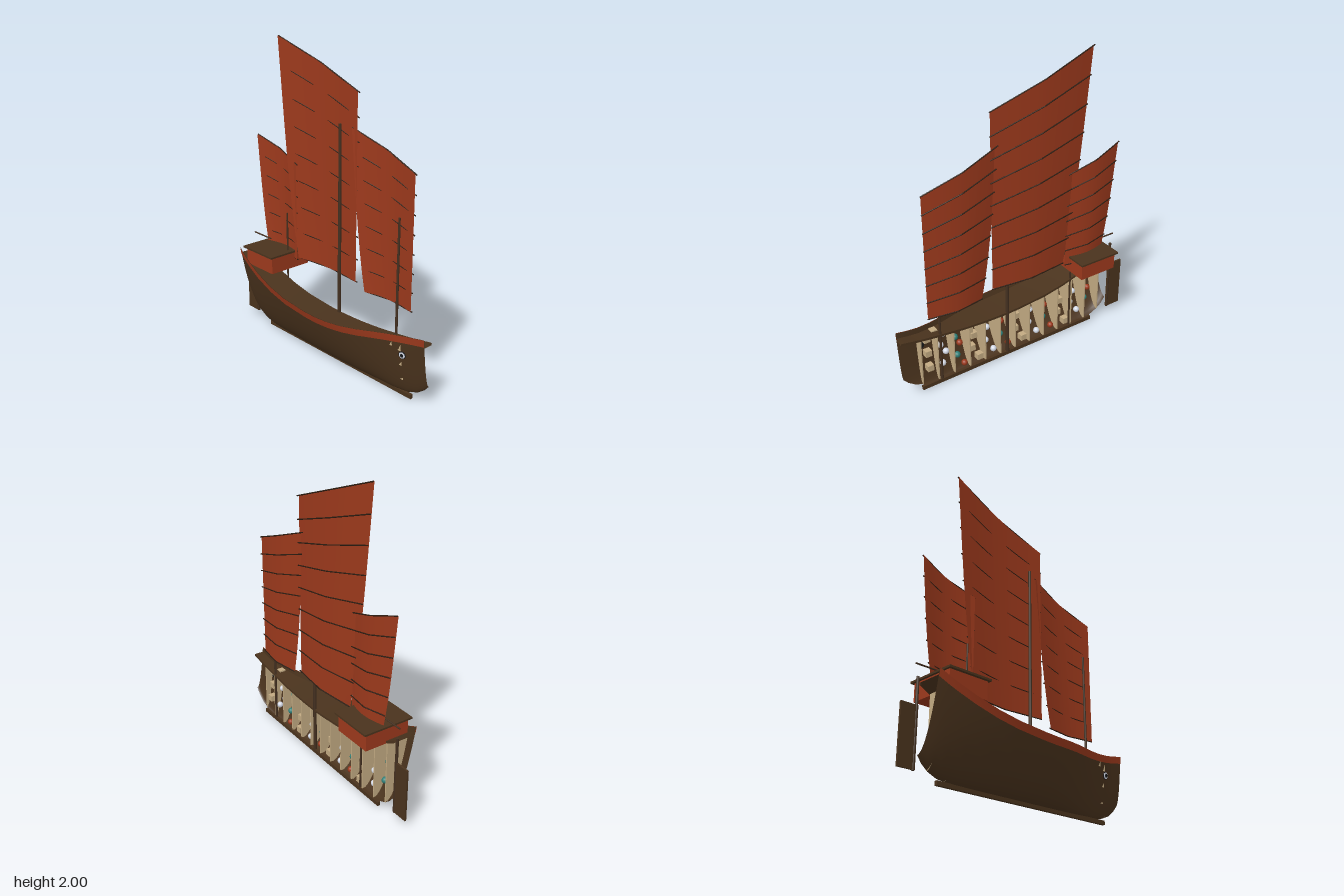
import * as THREE from 'three';
import { toCreasedNormals } from 'three/addons/utils/BufferGeometryUtils.js';

const mat = (name, color, side = THREE.FrontSide) =>
  Object.assign(new THREE.MeshStandardMaterial({ color, side }), { name });
const M = {
  wood: mat('hull brown', 0x4a331d, THREE.DoubleSide),
  dark: mat('dark spar brown', 0x2b1c11),
  mast: mat('mast brown', 0x443020),
  red: mat('tanbark red', 0x9c391c, THREE.DoubleSide),
  tan: mat('pale timber', 0xc2aa82),
  white: mat('porcelain white', 0xd5dae6),
  teal: mat('celadon teal', 0x2f7f78),
  black: mat('pupil black', 0x15171a),
};

const C = -0.026; // centre plane, where the hull is cut open

// Hull stations: x, sheer height, bottom height, half width
const STATIONS = [
  [-0.73, 0.575, 0.135, 0.157], [-0.70, 0.558, 0.095, 0.163], [-0.66, 0.537, 0.062, 0.169],
  [-0.60, 0.510, 0.036, 0.178], [-0.50, 0.470, 0.022, 0.191], [-0.35, 0.425, 0.02, 0.205],
  [-0.20, 0.396, 0.02, 0.214], [0, 0.378, 0.02, 0.217], [0.10, 0.374, 0.02, 0.215],
  [0.20, 0.375, 0.02, 0.207], [0.30, 0.379, 0.02, 0.189], [0.40, 0.386, 0.02, 0.158],
  [0.50, 0.397, 0.02, 0.121], [0.60, 0.409, 0.021, 0.090], [0.70, 0.423, 0.035, 0.068],
  [0.77, 0.435, 0.062, 0.061], [0.82, 0.445, 0.10, 0.059], [0.85, 0.45, 0.135, 0.058],
];

function station(x) {
  let i = 0;
  while (i < STATIONS.length - 2 && x > STATIONS[i + 1][0]) i++;
  const a = STATIONS[i], b = STATIONS[i + 1];
  const [top, bottom, w] = [1, 2, 3].map((k) => THREE.MathUtils.mapLinear(x, a[0], b[0], a[k], b[k]));
  const half = (y) => w * Math.sqrt(THREE.MathUtils.clamp((y - bottom) / (top - bottom), 0, 1));
  return { top, bottom, w, deck: top - 0.037, half };
}

// Skin a grid of points given by point(i, j)
function loft(nu, nv, point) {
  const pos = [], idx = [];
  for (let i = 0; i <= nu; i++) for (let j = 0; j <= nv; j++) pos.push(...point(i, j));
  for (let i = 0; i < nu; i++) for (let j = 0; j < nv; j++) {
    const a = i * (nv + 1) + j, b = a + nv + 1;
    idx.push(a, b, a + 1, b, b + 1, a + 1);
  }
  const g = new THREE.BufferGeometry();
  g.setAttribute('position', new THREE.Float32BufferAttribute(pos, 3));
  g.setIndex(idx);
  g.computeVertexNormals();
  return g;
}

function add(parent, name, geo, material, x = 0, y = 0, z = 0) {
  const m = new THREE.Mesh(geo, material);
  m.name = name;
  m.position.set(x, y, z);
  parent.add(m);
  return m;
}

// Round bar between two points
function bar(parent, name, a, b, r0, r1, material) {
  const p = new THREE.Vector3(...a), q = new THREE.Vector3(...b), d = q.clone().sub(p);
  const m = add(parent, name, new THREE.CylinderGeometry(r1, r0, d.length(), 8), material);
  m.position.copy(p).add(q).multiplyScalar(0.5);
  m.quaternion.setFromUnitVectors(new THREE.Vector3(0, 1, 0), d.normalize());
}

function buildHull(root) {
  const hull = new THREE.Group();
  hull.name = 'hull';
  root.add(hull);
  const n = STATIONS.length - 1;
  add(hull, 'planking', loft(n, 14, (i, j) => {
    const [x, top, bottom, w] = STATIONS[i], s = j / 14;
    return [x, bottom + (top - bottom) * s * s, C + w * s];
  }), M.wood);
  // Painted band below the sheer
  add(hull, 'gunwaleBand', loft(n, 1, (i, j) => {
    const x = STATIONS[i][0], s = station(x), y = j ? s.top : s.top - 0.045;
    return [x, y, C + s.half(y) + 0.003];
  }), M.red);
  // Deck with a thin edge on the cut side
  add(hull, 'deck', toCreasedNormals(loft(n, 3, (i, j) => {
    const x = STATIONS[i][0], s = station(x), y = s.deck - (j > 1 ? 0.015 : 0);
    return [x, y, j % 3 ? C - 0.008 : C + s.half(y)];
  }), 0.6), M.wood);
  add(hull, 'keel', new THREE.BoxGeometry(1.325, 0.026, 0.02), M.wood, 0.06, 0.013, C + 0.002);

  // Bow eye
  const normal = new THREE.Vector3(0.16, -0.1, 1).normalize();
  const ez = C + station(0.69).half(0.295);
  [['eyeRim', 0.024, 0, M.black], ['eyeWhite', 0.02, 0.003, M.white], ['eyePupil', 0.011, 0.006, M.black]]
    .forEach(([name, r, off, m]) => {
      const e = add(hull, name, new THREE.CylinderGeometry(r, r, 0.008, 20), m, 0.69, 0.295, ez);
      e.position.addScaledVector(normal, off);
      e.quaternion.setFromUnitVectors(new THREE.Vector3(0, 1, 0), normal);
    });
}

// Cross walls, with a stowed bay between each pair
function buildHold(root) {
  const hold = new THREE.Group();
  hold.name = 'hold';
  root.add(hold);
  const step = 0.115;
  for (let i = 0; i < 13; i++) {
    const x = 0.7175 - i * step, s = station(x), top = s.deck - 0.014;
    const shape = new THREE.Shape();
    shape.moveTo(C, s.bottom);
    for (let k = 1; k <= 12; k++) {
      const y = s.bottom + (top - s.bottom) * (k / 12) ** 2;
      shape.lineTo(C + s.half(y) * 0.95, y);
    }
    shape.lineTo(C, top);
    const g = new THREE.ExtrudeGeometry(shape, { depth: 0.008, bevelEnabled: false });
    add(hold, 'bulkhead', g, M.tan, x + 0.004, 0, 0).rotation.y = -Math.PI / 2;
  }
  const e = 0.021;
  const crate = new THREE.BoxGeometry(2 * e, 2 * e, 2 * e);
  const jar = new THREE.SphereGeometry(e, 12, 8);
  // Crates stacked in the narrow bow bay
  for (let k = 0; k < 3; k++) add(hold, 'bowCrate', crate, M.tan, 0.66, 0.14 + 0.1 * k, C + station(0.66).half(0.12 + 0.1 * k) - e);
  add(hold, 'deckCrate', crate, M.tan, 0.602, 0.358, 0.033);
  // Cargo hugging the inside of the planking
  for (let i = 1; i < 12; i++) {
    const x = 0.66 - i * step;
    for (let k = 0; k < 5; k++) {
      const px = x + (k % 2 ? 0.018 : -0.018), y = 0.065 + (i > 9 ? 0.03 : 0) + k * 0.062;
      const s = station(px + e); // narrower side governs forward of amidships
      const room = Math.min(s.half(y - e), station(px - e).half(y - e)) - e - 0.004;
      if (room < 0.012 || y + e > s.deck - 0.02) continue;
      const z = C + Math.min(room, (k % 2 ? 0.6 : 0.8) * s.half(y));
      if (i % 3 === 0) add(hold, 'crate', crate, M.tan, px, y, z);
      else if (i % 3 === 1) add(hold, 'whiteJar', jar, M.white, px, y, z);
      else add(hold, 'glazedJar', jar, k % 2 ? M.teal : M.red, px, y, z);
    }
  }
}

// Battened lugsail: corners, number of panels
function buildSail(root, name, [xtl, ytl], [xr, ytr], [xbl, yb], panels) {
  const sail = new THREE.Group();
  sail.name = name;
  root.add(sail);
  const point = (u, v, dz = 0) => {
    const left = xtl + (xbl - xtl) * (0.75 * v + 0.25 * v ** 4);
    const top = THREE.MathUtils.lerp(ytl, ytr, u);
    return [THREE.MathUtils.lerp(left, xr, u), THREE.MathUtils.lerp(top, yb, v),
      -0.049 - 0.028 * Math.sin(Math.PI * u) + dz];
  };
  add(sail, 'sailCloth', loft(20, 24, (i, j) => point(i / 20, j / 24)), M.red);
  // Straight battens lie behind the cloth and show through mid-panel
  for (let k = 0; k <= panels; k++) {
    const v = k / panels, r = 0.0038, dz = -0.0073;
    const label = k === 0 ? 'yard' : k === panels ? 'boom' : 'batten';
    bar(sail, label, point(-0.002, v, dz), point(0.5, v, dz), r, r, M.dark);
    bar(sail, label, point(0.5, v, dz), point(1.012, v, dz), r, r, M.dark);
  }
}

export function createModel() {
  const root = new THREE.Group();
  root.name = 'sailingShip';
  buildHull(root);
  buildHold(root);

  // Masts stepped on the keel
  [['mainMast', 0.09, 1.545, 0.012], ['foreMast', 0.583, 1.09, 0.009], ['mizzenMast', -0.415, 0.865, 0.007]]
    .forEach(([name, x, top, r]) => bar(root, name, [x, 0.02, C], [x, top, C], r, r * 0.75, M.mast));

  buildSail(root, 'mainSail', [-0.51, 1.997], [0.212, 1.745], [-0.33, 0.572], 8);
  buildSail(root, 'foreSail', [0.165, 1.53], [0.67, 1.355], [0.29, 0.533], 7);
  buildSail(root, 'mizzenSail', [-0.745, 1.33], [-0.348, 1.2], [-0.64, 0.55], 6);

  // Stern cabin
  add(root, 'cabin', new THREE.BoxGeometry(0.27, 0.115, 0.305), M.red, -0.525, 0.54, C);
  add(root, 'cabinRoof', new THREE.BoxGeometry(0.3, 0.012, 0.343), M.wood, -0.525, 0.6, C);

  // Steering gear
  add(root, 'rudder', new THREE.BoxGeometry(0.112, 0.35, 0.012), M.wood, -0.799, 0.227, C);
  bar(root, 'rudderPost', [-0.752, 0.05, C], [-0.752, 0.565, C], 0.009, 0.009, M.mast);
  bar(root, 'tiller', [-0.77, 0.637, C], [-0.595, 0.637, C], 0.005, 0.005, M.mast);
  return root;
}
